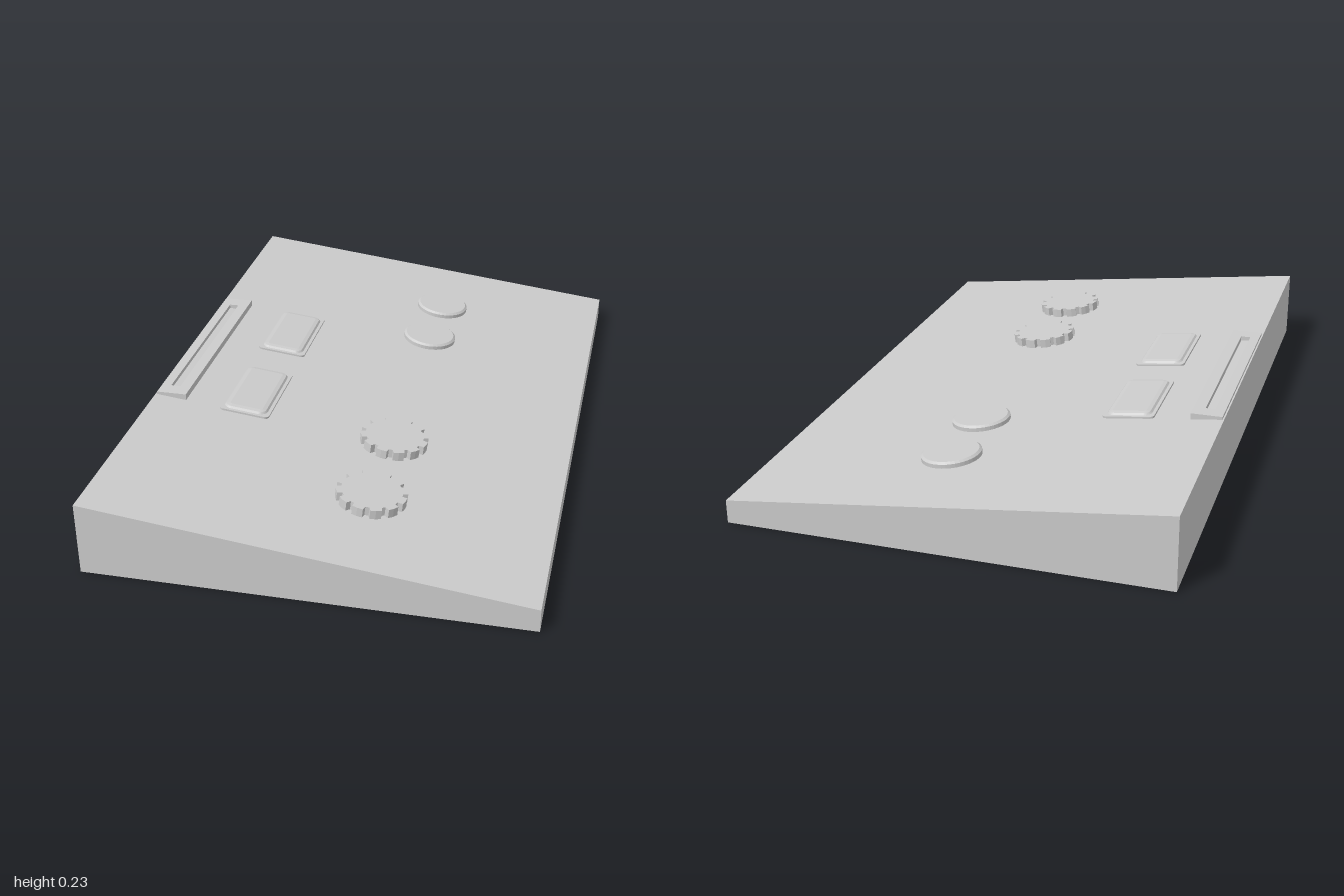
import * as THREE from 'three';

const material = new THREE.MeshStandardMaterial({ color: 0xcccccc, flatShading: true });
const HIGH = 0.222, LOW = 0.07, HALF_W = 0.65;
const slope = (HIGH - LOW) / (2 * HALF_W);
const surfaceY = (x) => HIGH - slope * (x + HALF_W);

function mesh(name, geometry) {
  const m = new THREE.Mesh(geometry, material);
  m.name = name;
  return m;
}

// Extrudes a plan outline (x, z) upward from y = 0
function slab(shape, height, options = {}) {
  return new THREE.ExtrudeGeometry(shape, { depth: height, bevelEnabled: false, curveSegments: 4, ...options })
    .rotateX(-Math.PI / 2);
}

function rectangle(Type, x0, x1, y0, y1) {
  return new Type([[x0, y0], [x1, y0], [x1, y1], [x0, y1]].map(([x, y]) => new THREE.Vector2(x, y)));
}

function roundedRectangle(w, h, r) {
  const s = new THREE.Shape();
  s.absarc(w / 2 - r, h / 2 - r, r, 0, Math.PI / 2);
  s.absarc(-w / 2 + r, h / 2 - r, r, Math.PI / 2, Math.PI);
  s.absarc(-w / 2 + r, -h / 2 + r, r, Math.PI, Math.PI * 1.5);
  s.absarc(w / 2 - r, -h / 2 + r, r, Math.PI * 1.5, Math.PI * 2);
  s.closePath();
  return s;
}

// Wide teeth separated by narrow notches
function gearShape(teeth, outer, inner) {
  const points = [];
  const step = (Math.PI * 2) / teeth;
  for (let i = 0; i < teeth; i++) {
    for (const [f, r] of [[0, inner], [0.25, inner], [0.32, outer], [0.62, outer * 1.005], [0.93, outer]]) {
      const a = (i + f) * step;
      points.push(new THREE.Vector2(Math.cos(a) * r, Math.sin(a) * r));
    }
  }
  return new THREE.Shape(points);
}

export function createModel() {
  const model = new THREE.Group();
  model.name = 'controlPanel';

  // Sloping wedge body
  const profile = new THREE.Shape([
    new THREE.Vector2(-HALF_W, 0), new THREE.Vector2(HALF_W, 0),
    new THREE.Vector2(HALF_W, LOW), new THREE.Vector2(-HALF_W, HIGH),
  ]);
  model.add(mesh('body', new THREE.ExtrudeGeometry(profile, { depth: 2, bevelEnabled: false }).translate(0, 0, -1)));

  // Level plate with a long slot along the high edge
  const plate = rectangle(THREE.Shape, -0.645, -0.55, -0.34, 0.38);
  plate.holes.push(rectangle(THREE.Path, -0.615, -0.585, -0.29, 0.33));
  const slot = mesh('slotPlate', slab(plate, 0.022));
  slot.position.y = 0.208;
  model.add(slot);

  // Parts lying on the slope
  function place(name, geometry, x, zs) {
    for (const z of zs) {
      const part = mesh(name, geometry);
      part.position.set(x, surfaceY(x), z);
      part.rotation.z = -Math.atan(slope);
      model.add(part);
    }
  }

  // Rectangular pads: a rim and a bevelled cap
  place('padRim', slab(roundedRectangle(0.16, 0.3, 0.014), 0.006), -0.36, [-0.23, 0.203]);
  place('padCap', slab(roundedRectangle(0.105, 0.245, 0.008), 0.006, {
    bevelEnabled: true, bevelThickness: 0.008, bevelSize: 0.017, bevelSegments: 2,
  }), -0.36, [-0.23, 0.203]);

  // Round buttons with a chamfered top
  const button = new THREE.LatheGeometry(
    [[0, 0], [0.09, 0], [0.09, 0.012], [0.083, 0.018], [0, 0.018]].map(([r, y]) => new THREE.Vector2(r, y)), 40);
  place('roundButton', button, 0.092, [-0.668, -0.408]);

  // Toothed dials
  place('toothedDial', slab(gearShape(12, 0.105, 0.09), 0.028), 0.115, [0.33, 0.655]);

  return model;
}
